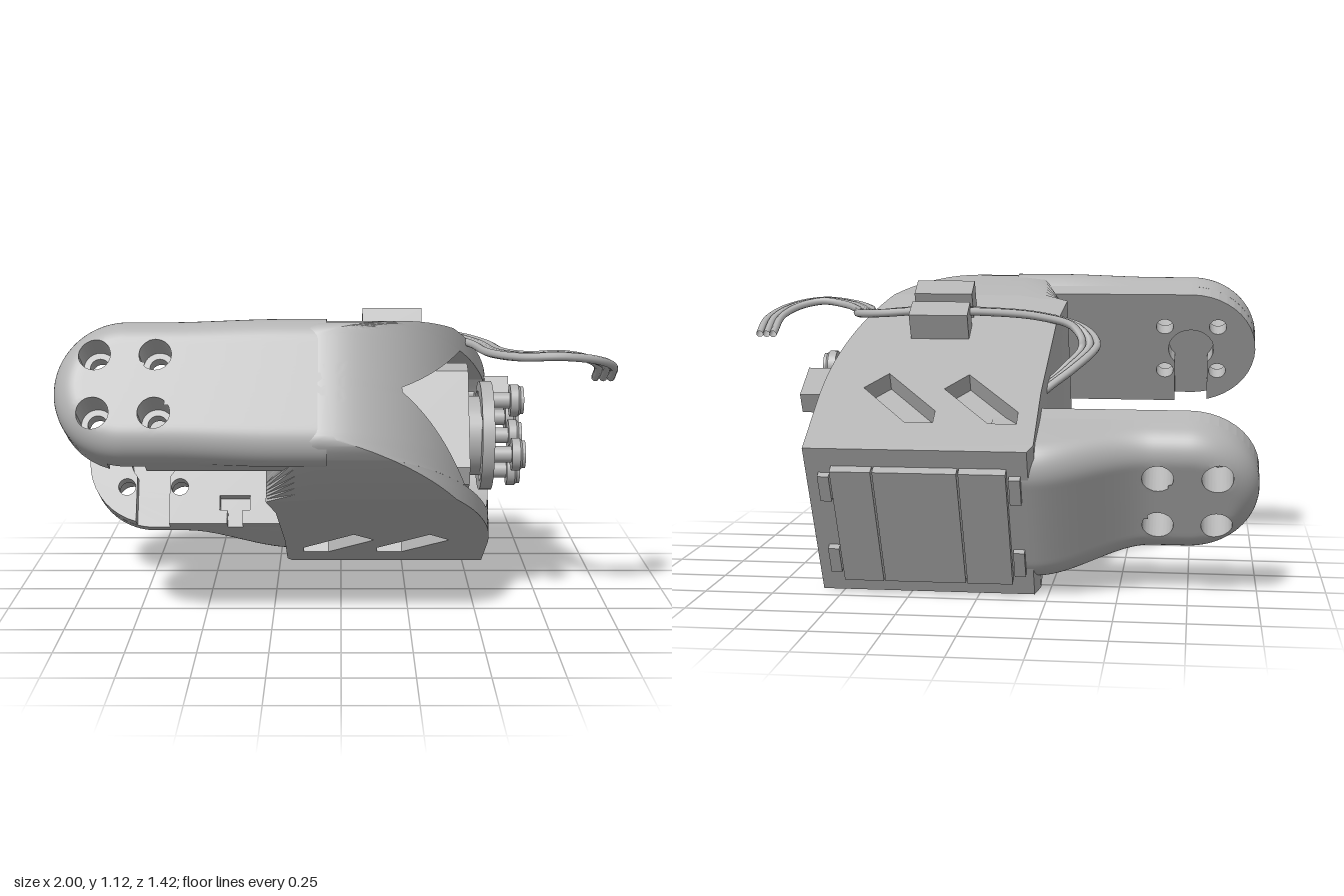
import * as THREE from 'three';
import { toCreasedNormals } from 'three/addons/utils/BufferGeometryUtils.js';

const gray = new THREE.MeshStandardMaterial({ color: 0xb3b3b3, side: THREE.DoubleSide });
gray.name = 'plain gray';
const V2 = (x, y) => new THREE.Vector2(x, y);
const H = 0.65, MID = 0.325, AXIS_Z = 0.712;

function add(parent, name, geo, x = 0, y = 0, z = 0) {
  const m = new THREE.Mesh(geo, gray);
  m.name = name;
  m.position.set(x, y, z);
  parent.add(m);
}

// Skin between matching rows of points; keep() may leave triangles out
function band(rows, closed, keep = () => true) {
  const n = rows[0].length, idx = [], all = rows.flat();
  const tri = (...t) => {
    const x = (all[t[0]].x + all[t[1]].x + all[t[2]].x) / 3;
    const y = (all[t[0]].y + all[t[1]].y + all[t[2]].y) / 3;
    if (keep(x, y)) idx.push(...t);
  };
  for (let j = 0; j < rows.length - 1; j++) {
    for (let i = 0; i < (closed ? n : n - 1); i++) {
      const a = j * n + i, b = j * n + (i + 1) % n;
      tri(a, a + n, b);
      tri(b, a + n, b + n);
    }
  }
  const g = new THREE.BufferGeometry();
  g.setAttribute('position', new THREE.Float32BufferAttribute(all.flatMap(p => [p.x, p.y, p.z]), 3));
  g.setIndex(idx);
  return toCreasedNormals(g, 0.6);
}

// Plan outline of the housing at height y; the middle levels have a side opening
function outline(y, open) {
  const m = Math.min(y, H - y, 0.13);
  const limit = 1.327 - 0.33 * (1 - m / 0.13) ** 2;
  const pts = [V2(-0.2, 0), V2(0.58, 0)];
  const angle = z => Math.asin(Math.min(1, (z - 0.3) / 1.027));
  const flank = (from, to, n) => {
    for (let i = 0; i <= n; i++) {
      const a = from + (to - from) * i / n;
      pts.push(V2(-0.05 + 0.63 * Math.cos(a), 0.3 + 1.027 * Math.sin(a)));
    }
  };
  let start = 0;
  if (open) {
    const back = AXIS_Z - Math.sqrt(0.0729 - (y - 0.322) ** 2);
    const front = 1.243 - 1.2 * Math.abs(y - 0.334);
    const edge = Math.min(back, 0.62);
    start = angle(front);
    flank(0, angle(edge), 6);
    pts.push(V2(0.1, edge), V2(0.1, front));
  }
  // Curved flank up to the rounded front, then across the front
  flank(start, angle(limit), 24);
  pts.push(V2(-0.08, limit), V2(-0.16, limit - 0.02), V2(-0.27, 0.96), V2(-0.24, 0.8), V2(-0.22, 0.35), V2(-0.22, 0.04));
  return pts;
}

const slots = [0, 0.295].map(dx =>
  [[-0.15, 0.16], [-0.05, 0.16], [0.13, 0.365], [0.05, 0.456], [-0.15, 0.23]].map(([x, z]) => V2(x + dx, z)));
const lift = (pts, y) => pts.map(p => new THREE.Vector3(p.x, y, p.y));

function cap(pts, y, holes = []) {
  const s = new THREE.Shape(pts);
  holes.forEach(h => s.holes.push(new THREE.Path(h)));
  return new THREE.ShapeGeometry(s).rotateX(Math.PI / 2).translate(0, y, 0);
}

function buildHousing(g) {
  const lo = 0.07, hi = 0.58;
  // Floor and roof, each with two slanted slots
  [['housingFloor', 0, lo], ['housingRoof', H, hi]].forEach(([name, outer, inner]) => {
    const levels = [0, 0.15, 0.3, 0.45, 0.6, 0.8, 1].map(t => outer + (inner - outer) * t);
    add(g, name + 'Edge', band(levels.map(y => lift(outline(y), y)), true));
    add(g, name, cap(outline(outer), outer, slots));
    add(g, name + 'Inside', cap(outline(inner), inner));
    slots.forEach(s => add(g, name + 'Slot', band([lift(s, outer), lift(s, inner)], true)));
  });
  // Walls around the open servo bay
  const rows = [];
  for (let i = 0; i <= 30; i++) {
    const y = lo + (hi - lo) * i / 30;
    rows.push(lift(outline(y, true), y));
  }
  add(g, 'housingWall', band(rows, true));
}

// Fork arm: keyhole plate inside, rounded shell outside; depth runs outward along +z
const CX = -0.745, R = 0.255, XR = -0.05, STEPS = 40, FILLET = 0.1, BOLT = 0.056;
const boltHoles = [[-1, -1], [1, -1], [1, 1], [-1, 1]].map(([a, b]) => [CX + a * 0.105, b * 0.105]);
const blend = x => THREE.MathUtils.smoothstep(x, -0.62, -0.2);

function capsule(r) {
  const pts = [], xs = i => XR + (CX - XR) * i / STEPS;
  for (let i = 0; i < STEPS; i++) pts.push(V2(xs(i), -r));
  for (let i = 0; i <= 48; i++) {
    const a = -Math.PI / 2 - Math.PI * i / 48;
    pts.push(V2(CX + r * Math.cos(a), r * Math.sin(a)));
  }
  for (let i = STEPS - 1; i >= 0; i--) pts.push(V2(xs(i), r));
  return pts;
}

// Depth of the rounded outer face
function faceDepth(x, y, bend) {
  const e = x < CX ? Math.hypot(x - CX, y) : Math.abs(y);
  const k = Math.max(0, e - R + FILLET);
  return 0.1 + 1.05 * Math.sqrt(Math.max(0, FILLET ** 2 - k * k)) + bend * blend(x);
}

function drilled(pts, r) {
  const s = new THREE.Shape(pts);
  boltHoles.forEach(([x, y]) => s.holes.push(new THREE.Path().absarc(x, y, r, 0, Math.PI * 2, true)));
  return s;
}

function buildArm(name, bend, widen, notched) {
  const g = new THREE.Group();
  g.name = name;
  // Outer shell: shrinking loops, with vertices near a bolt hole pulled onto its rim
  const radii = [];
  for (let i = 0; i <= 12; i++) radii.push(R - FILLET + FILLET * Math.cos(Math.PI / 2 * i / 12));
  for (let i = 1; i <= 12; i++) radii.push((R - FILLET) * (1 - i / 12));
  const rows = [capsule(R).map(p => new THREE.Vector3(p.x, p.y, 0.06))];
  radii.forEach(r => rows.push(capsule(r).map(p => {
    boltHoles.forEach(([hx, hy]) => {
      const d = Math.hypot(p.x - hx, p.y - hy);
      if (Math.abs(d - BOLT) < 0.009) p.set(hx + (p.x - hx) * BOLT / d, hy + (p.y - hy) * BOLT / d);
    });
    return new THREE.Vector3(p.x, p.y * (1 + widen * blend(p.x)), faceDepth(p.x, p.y, bend));
  })));
  const solid = (x, y) => boltHoles.every(([hx, hy]) => Math.hypot(x - hx, y - hy) > BOLT - 0.002);
  add(g, 'armShell', band(rows, false, solid));
  // Recess floor, and bolt sleeves trimmed to the rounded face
  add(g, 'recessFloor', new THREE.ShapeGeometry(drilled(capsule(R), 0.034), 24), 0, 0, 0.06);
  boltHoles.forEach(([x, y]) => {
    const ring = new THREE.Path().absarc(x, y, BOLT, 0, Math.PI * 2).getPoints(32);
    add(g, 'boltSleeve', band([
      ring.map(p => new THREE.Vector3(p.x, p.y, 0.06)),
      ring.map(p => new THREE.Vector3(p.x, p.y, faceDepth(p.x, p.y, bend))),
    ], false));
  });
  // Inner plate outline with a keyhole and, on one arm, a cable notch
  const notch = [[-0.39, -R], [-0.39, -0.2], [-0.36, -0.2], [-0.36, -0.14], [-0.48, -0.14],
    [-0.48, -0.2], [-0.45, -0.2], [-0.45, -R]];
  const pts = [[XR, -R], ...(notched ? notch : []), [-0.68, -R]].map(p => V2(...p));
  for (let i = 0; i <= 20; i++) {
    const a = -0.76 + (Math.PI + 1.52) * i / 20;
    pts.push(V2(CX + 0.09 * Math.cos(a), 0.09 * Math.sin(a)));
  }
  for (let i = 0; i <= 20; i++) {
    const a = -1.829 - (Math.PI * 1.5 - 1.829) * i / 20;
    pts.push(V2(CX + R * Math.cos(a), R * Math.sin(a)));
  }
  pts.push(V2(XR, R));
  add(g, 'keyholePlate', new THREE.ExtrudeGeometry(drilled(pts, 0.034), { depth: 0.06, bevelEnabled: false, curveSegments: 20 }));
  return g;
}

const disc = (r, len, top = r) => new THREE.CylinderGeometry(top, r, len, 32).rotateZ(-Math.PI / 2);

// Round plate with a cross-shaped driver recess, facing +x
function crossPlate(r, depth) {
  const s = new THREE.Shape().absarc(0, 0, r, 0, Math.PI * 2);
  const l = r * 0.72, w = r * 0.15, cross = [];
  for (let i = 0; i < 4; i++) {
    const o = V2(0, 0), a = i * Math.PI / 2 + 0.8;
    cross.push(...[V2(l, -w), V2(l, w), V2(w, w)].map(p => p.rotateAround(o, a)));
  }
  s.holes.push(new THREE.Path(cross));
  const g = new THREE.ExtrudeGeometry(s, { depth, bevelEnabled: false, curveSegments: 24 });
  return toCreasedNormals(g.rotateY(Math.PI / 2), 0.5);
}

function buildServo(g) {
  // Case with chamfered corners
  const c = 0.05, z0 = 0.45, z1 = 0.92, y0 = 0.09, y1 = 0.56;
  const s = new THREE.Shape([V2(-z0, y0), V2(-z0, y1), V2(c - z1, y1), V2(-z1, y1 - c), V2(-z1, y0 + c), V2(c - z1, y0)]);
  add(g, 'servoCase', new THREE.ExtrudeGeometry(s, { depth: 0.37, bevelEnabled: false }).rotateY(Math.PI / 2), 0.1);
  add(g, 'servoBoss', disc(0.15, 0.06), 0.5, MID, AXIS_Z);
  // Horn disc with through holes
  const horn = new THREE.Shape().absarc(0, 0, 0.205, 0, Math.PI * 2);
  for (let i = 0; i < 4; i++) {
    const a = i * Math.PI / 2;
    horn.holes.push(new THREE.Path().absarc(0.15 * Math.cos(a), 0.15 * Math.sin(a), 0.028, 0, Math.PI * 2, true));
  }
  const hg = new THREE.ExtrudeGeometry(horn, { depth: 0.045, bevelEnabled: false, curveSegments: 32 });
  add(g, 'servoHorn', toCreasedNormals(hg.rotateY(Math.PI / 2), 0.5), 0.52, MID, AXIS_Z);
  // Pan head screws
  [[0, 0], [1, 1], [1, -1], [-1, 1], [-1, -1]].forEach(([a, b]) => {
    const y = MID + a * 0.105, z = AXIS_Z + b * 0.105;
    add(g, 'screwShank', disc(0.03, 0.09), 0.595, y, z);
    add(g, 'screwHead', disc(0.06, 0.03), 0.645, y, z);
    add(g, 'screwCrown', disc(0.06, 0.008, 0.053), 0.664, y, z);
    add(g, 'screwTop', crossPlate(0.051, 0.013), 0.667, y, z);
  });
  [0.103, 0.544].forEach(y => add(g, 'cornerStud', disc(0.025, 0.06), 0.49, y, 0.54));
  // Plug beside the horn
  add(g, 'plug', new THREE.BoxGeometry(0.12, 0.08, 0.17), 0.6, 0.59, 0.43);
}

function buildDetails(g) {
  // Low screws on the side wall
  [0.1, 0.534].forEach(y => {
    add(g, 'wallScrew', crossPlate(0.032, 0.012), 0.574, y, 0.128);
    add(g, 'wallScrewRim', new THREE.TorusGeometry(0.045, 0.004, 8, 28).rotateY(Math.PI / 2), 0.581, y, 0.128);
  });
  // Rear cover in three panels with end clips
  [[-0.13, 0.17], [0.04, 0.3], [0.34, 0.15]].forEach(([x, w]) =>
    add(g, 'rearPanel', new THREE.BoxGeometry(w - 0.006, 0.5, 0.06), x + w / 2, MID, -0.004));
  [-0.155, 0.515].forEach(x => [0.16, 0.49].forEach(y =>
    add(g, 'rearClip', new THREE.BoxGeometry(0.04, 0.11, 0.04), x, y, -0.005)));
  // Cable clip on the roof
  [0.735, 0.885].forEach(z => add(g, 'cableClip', new THREE.BoxGeometry(0.22, 0.12, 0.095), 0.19, 0.695, z));
}

// Three parallel wires
function buildWires(g) {
  const path = new THREE.CatmullRomCurve3([
    [-0.2, 0.72, -0.2], [-0.3, 0.8, -0.15], [-0.37, 0.88, -0.06], [-0.32, 0.94, 0], [-0.18, 0.98, 0],
    [0.05, 1.0, -0.035], [0.3, 1.0, -0.05], [0.42, 0.99, -0.03], [0.51, 0.98, 0.08], [0.56, 0.98, 0.3],
    [0.65, 0.99, 0.45], [0.77, 1.0, 0.495], [0.88, 0.98, 0.45], [0.945, 0.94, 0.36], [0.955, 0.88, 0.25],
  ].map(p => new THREE.Vector3(...p)));
  [-0.028, 0, 0.028].forEach(off => {
    const pts = [];
    for (let i = 0; i <= 50; i++) {
      const p = path.getPoint(i / 50), t = path.getTangent(i / 50);
      const l = Math.hypot(t.x, t.z);
      pts.push(p.add(new THREE.Vector3(-t.z / l * off, 0, t.x / l * off)));
    }
    add(g, 'wire', new THREE.TubeGeometry(new THREE.CatmullRomCurve3(pts), 120, 0.015, 8));
  });
}

export function createModel() {
  const model = new THREE.Group();
  model.name = 'servoBracket';
  // Tilted frame: y across the bracket, z from rear to front
  const body = new THREE.Group();
  body.name = 'tiltedBody';
  body.rotation.x = -0.5;
  body.position.z = -0.4;
  model.add(body);
  [buildHousing, buildServo, buildDetails].forEach(build => build(body));
  const frontArm = buildArm('frontArm', 0, 0.05, false);
  frontArm.position.set(0, MID, 1.122);
  const rearArm = buildArm('rearArm', 0.15, 0.14, true);
  rearArm.position.set(0, MID, 0.352);
  rearArm.scale.z = -1;
  body.add(frontArm, rearArm);
  buildWires(model);
  return model;
}
